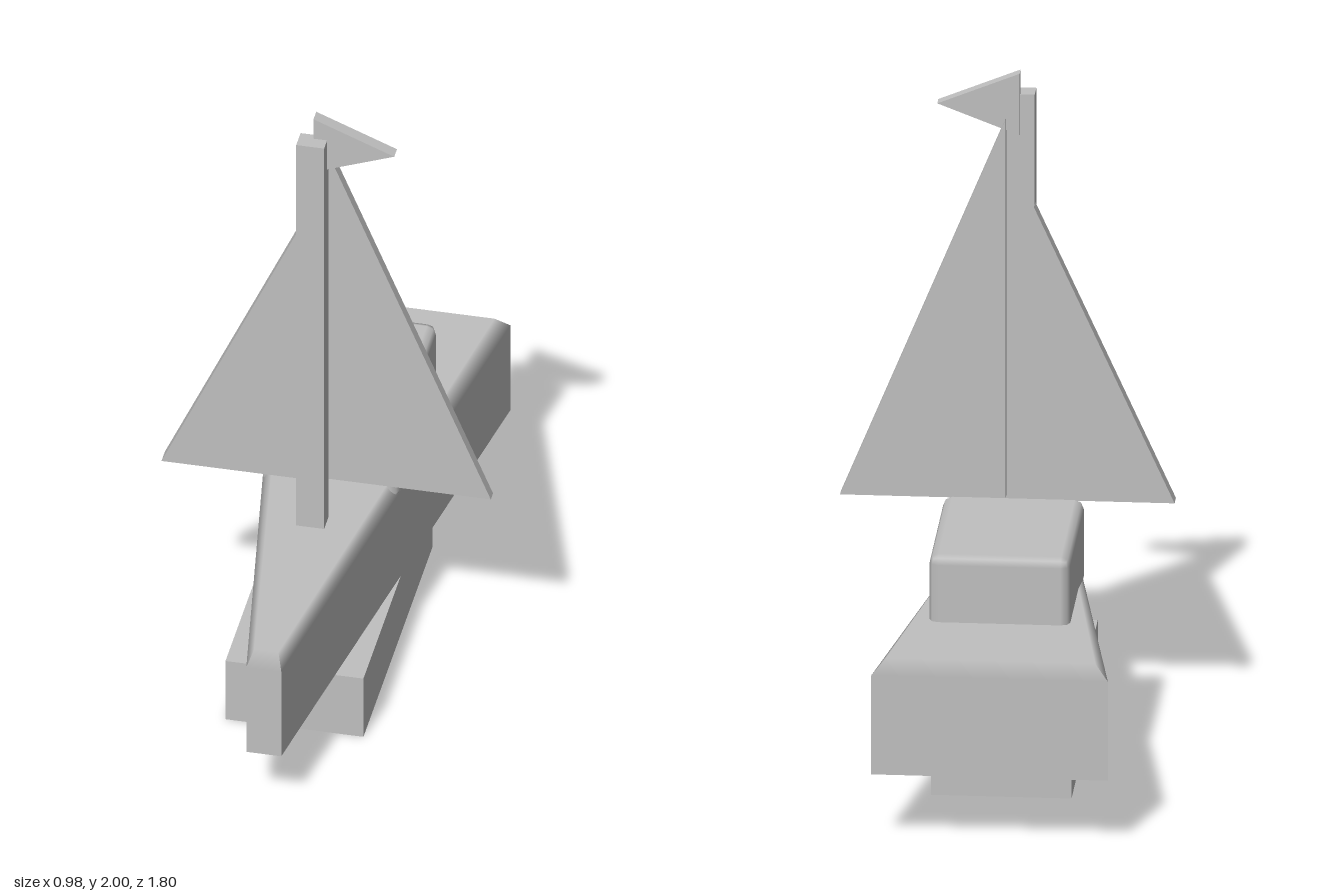
import * as THREE from 'three';
import { RoundedBoxGeometry } from 'three/addons/geometries/RoundedBoxGeometry.js';

const CX = -0.035; // centre line of the boat

// Four corners of the tapered hull plan at height y, anticlockwise from above
function ring(y, bow, stern, end) {
  return [[bow, end], [stern, -end], [-stern, -end], [-bow, end]]
    .map(([x, z]) => new THREE.Vector3(CX + x, y, z));
}

// Tapered hull with sharp bottom and softened top edge
function hullGeometry() {
  const rings = [ring(0.21, 0.052, 0.345, 0.9), ring(0.515, 0.052, 0.345, 0.9), ring(0.558, 0.036, 0.305, 0.865)];
  const pos = [], nor = [];
  const up = new THREE.Vector3(0, 1, 0), down = new THREE.Vector3(0, -1, 0);
  const quad = (p, n) => [0, 1, 2, 0, 2, 3].forEach((i) => {
    pos.push(...p[i].toArray());
    nor.push(...n[i].toArray());
  });
  const [low, rail, top] = rings;
  for (let i = 0; i < 4; i++) {
    const j = (i + 1) % 4;
    const edge = low[j].clone().sub(low[i]);
    const out = edge.cross(up).normalize();
    quad([low[i], low[j], rail[j], rail[i]], [out, out, out, out]);
    quad([rail[i], rail[j], top[j], top[i]], [out, out, up, up]);
  }
  quad(top, [up, up, up, up]);
  quad([...low].reverse(), [down, down, down, down]);
  const g = new THREE.BufferGeometry();
  g.setAttribute('position', new THREE.Float32BufferAttribute(pos, 3));
  g.setAttribute('normal', new THREE.Float32BufferAttribute(nor, 3));
  return g;
}

// Flat triangular panel between two depths
function panel(points, z0, z1) {
  const shape = new THREE.Shape(points.map(([x, y]) => new THREE.Vector2(x, y)));
  return new THREE.ExtrudeGeometry(shape, { depth: z1 - z0, bevelEnabled: false }).translate(0, 0, z0);
}

export function createModel() {
  const group = new THREE.Group();
  const grey = new THREE.MeshStandardMaterial({ color: 0xc0c0c0 });
  grey.name = 'plain grey';
  const add = (name, geometry, x = 0, y = 0, z = 0) => {
    const mesh = new THREE.Mesh(geometry, grey);
    mesh.name = name;
    mesh.position.set(x, y, z);
    group.add(mesh);
  };

  // Body
  add('keel', new THREE.BoxGeometry(0.41, 0.21, 0.955), CX, 0.105, 0);
  add('hull', hullGeometry());
  add('cabin', new RoundedBoxGeometry(0.41, 0.26, 0.545, 1, 0.027), CX, 0.63, -0.274);

  // Rigging
  add('mast', new THREE.BoxGeometry(0.083, 1.375, 0.06), -0.038, 1.2425, 0.217);
  add('leftSail', panel([[0.003, 0.693], [0.485, 0.693], [0.003, 1.862]], 0.152, 0.183));
  add('rightSail', panel([[-0.49, 0.693], [-0.08, 0.693], [-0.08, 1.595]], 0.152, 0.2));
  add('flag', panel([[-0.037, 1.81], [0.203, 1.902], [-0.037, 2]], 0.168, 0.206));
  return group;
}
